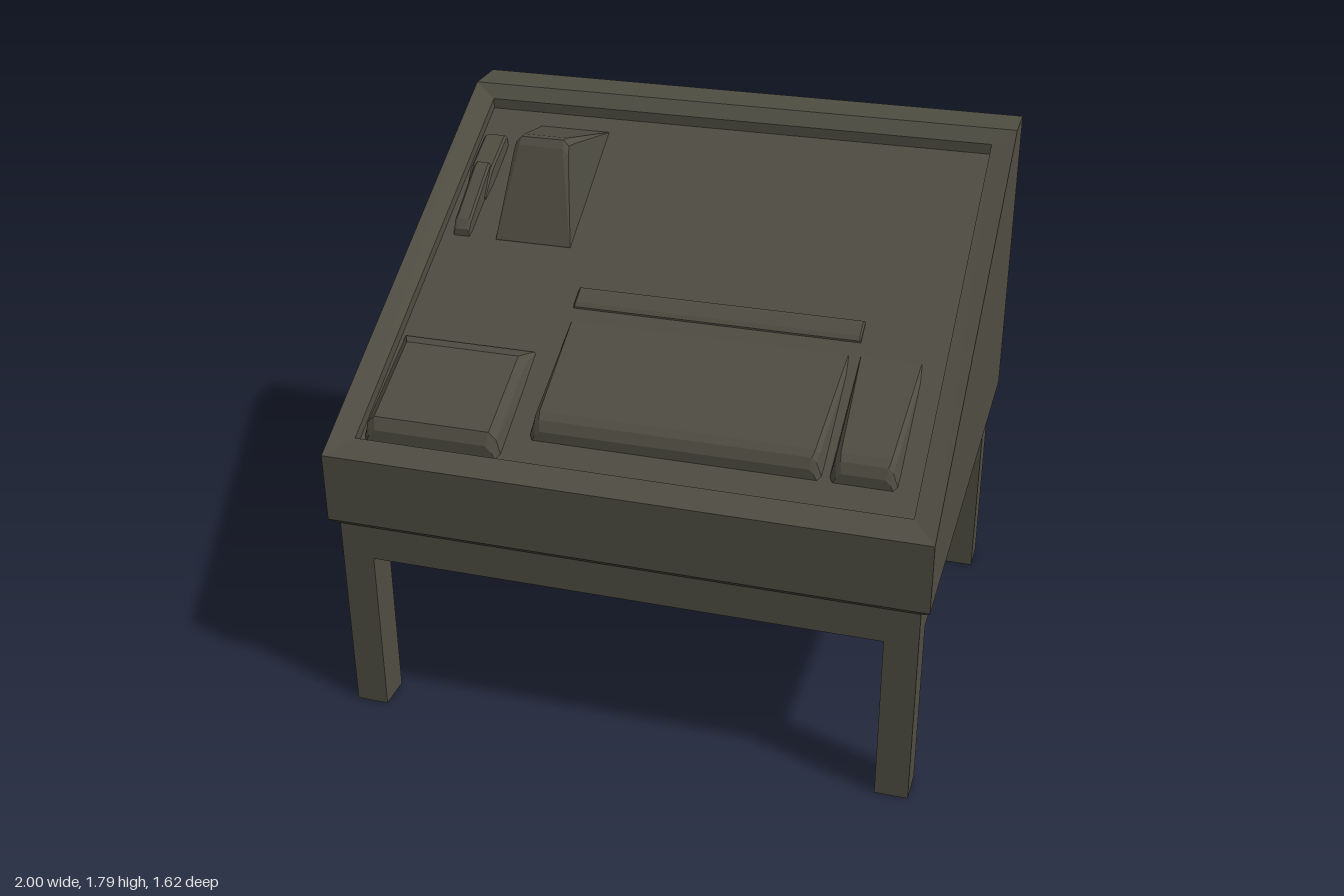
import * as THREE from 'three';

// Height of the sloped panel floor at depth z
const floorY = (z) => 1.37 - 0.556 * z;

// Closed faceted solid through a list of equal-length point loops
function loft(loops) {
  const pos = [];
  const tri = (a, b, c) => pos.push(...a, ...b, ...c);
  const n = loops[0].length;
  for (let k = 0; k < loops.length - 1; k++) {
    for (let i = 0; i < n; i++) {
      const j = (i + 1) % n, a = loops[k], b = loops[k + 1];
      tri(a[i], a[j], b[j]);
      tri(a[i], b[j], b[i]);
    }
  }
  const first = loops[0], last = loops[loops.length - 1];
  for (let i = 1; i < n - 1; i++) {
    tri(last[0], last[i], last[i + 1]);
    tri(first[0], first[i + 1], first[i]);
  }
  const g = new THREE.BufferGeometry();
  g.setAttribute('position', new THREE.Float32BufferAttribute(pos, 3));
  g.computeVertexNormals();
  return g;
}

// Rectangular ring with separate front and back depth and height
const ring = (w, zf, yf, zb, yb) => [[w, yf, zf], [w, yb, zb], [-w, yb, zb], [-w, yf, zf]];

// Raised panel feature; sections run back to front as
// [z, height above floor, half width at base, half width at top]
function raised(cx, sections, bevel = 0.015) {
  return loft(sections.map(([z, h, wb, wt]) => {
    const y = floorY(z), b = Math.min(bevel, h * 0.5);
    return [
      [cx - wb, y - 0.01, z], [cx + wb, y - 0.01, z],
      [cx + wt, y + h - b, z], [cx + wt - b, y + h, z],
      [cx - wt + b, y + h, z], [cx - wt, y + h - b, z],
    ];
  }));
}

export function createModel() {
  const model = new THREE.Group();
  const olive = new THREE.MeshStandardMaterial({ color: 0x4f4d42 });
  olive.name = 'darkOlive';

  const add = (name, geometry, x = 0, y = 0, z = 0) => {
    const mesh = new THREE.Mesh(geometry, olive);
    mesh.name = name;
    mesh.position.set(x, y, z);
    model.add(mesh);
  };

  // Wedge cabinet with a rimmed, recessed top panel
  add('cabinet', loft([
    ring(0.98, 0.79, 0.72, -0.79, 0.72),
    ring(1, 0.81, 0.74, -0.81, 0.74),
    ring(1, 0.81, 0.98, -0.81, 1.79),
    ring(1, 0.81, 0.98, -0.65, 1.79),
    ring(0.92, 0.72, 1.01, -0.61, 1.745),
    ring(0.92, 0.72, floorY(0.72), -0.61, floorY(-0.61)),
  ]));

  // Stand
  add('apron', new THREE.BoxGeometry(1.94, 0.13, 1.57), 0, 0.66, 0);
  for (const sx of [-1, 1]) {
    for (const sz of [-1, 1]) {
      add('leg', new THREE.BoxGeometry(0.11, 0.61, 0.12), sx * 0.915, 0.305, sz * 0.725);
    }
  }

  // Keyboard and number pad: wedges rising towards the front
  const keys = (name, cx, w) => add(name, raised(cx, [
    [0.19, 0.002, w, w - 0.01],
    [0.57, 0.066, w, w - 0.015],
    [0.595, 0.062, w, w - 0.02],
    [0.61, 0.035, w - 0.01, w - 0.025],
  ]));
  keys('keyboard', 0.125, 0.485);
  keys('numberPad', 0.74, 0.11);

  // Square pad with chamfered edges
  add('squarePad', raised(-0.67, [
    [0.32, 0.008, 0.24, 0.235],
    [0.385, 0.055, 0.24, 0.225],
    [0.67, 0.075, 0.24, 0.225],
    [0.69, 0.045, 0.23, 0.215],
  ], 0.025));

  // Long thin strip above the keyboard
  add('strip', raised(0.135, [
    [0.07, 0.008, 0.495, 0.495],
    [0.085, 0.014, 0.495, 0.495],
    [0.13, 0.014, 0.495, 0.495],
    [0.14, 0.006, 0.495, 0.495],
  ], 0.006));

  // Tapered hood
  const hood = [
    [-0.55, 1.678, 0.132, 0.13],
    [-0.25, 1.752, 0.138, 0.1],
    [-0.215, 1.755, 0.138, 0.097],
    [-0.195, 1.73, 0.138, 0.1],
    [-0.08, 1.418, 0.14, 0.138],
  ];
  add('hood', raised(-0.583, hood.map(([z, y, wb, wt]) => [z, y - floorY(z), wb, wt]), 0.02));

  // Lever and its housing
  add('leverHousing', raised(-0.853, [
    [-0.46, 0.035, 0.043, 0.04],
    [-0.44, 0.048, 0.045, 0.042],
    [-0.3, 0.055, 0.045, 0.042],
    [-0.23, 0.012, 0.04, 0.038],
  ], 0.008));
  add('lever', raised(-0.85, [
    [-0.31, 0.066, 0.03, 0.028],
    [-0.29, 0.07, 0.032, 0.03],
    [-0.1, 0.045, 0.032, 0.03],
    [-0.08, 0.025, 0.03, 0.028],
  ], 0.008));

  return model;
}
